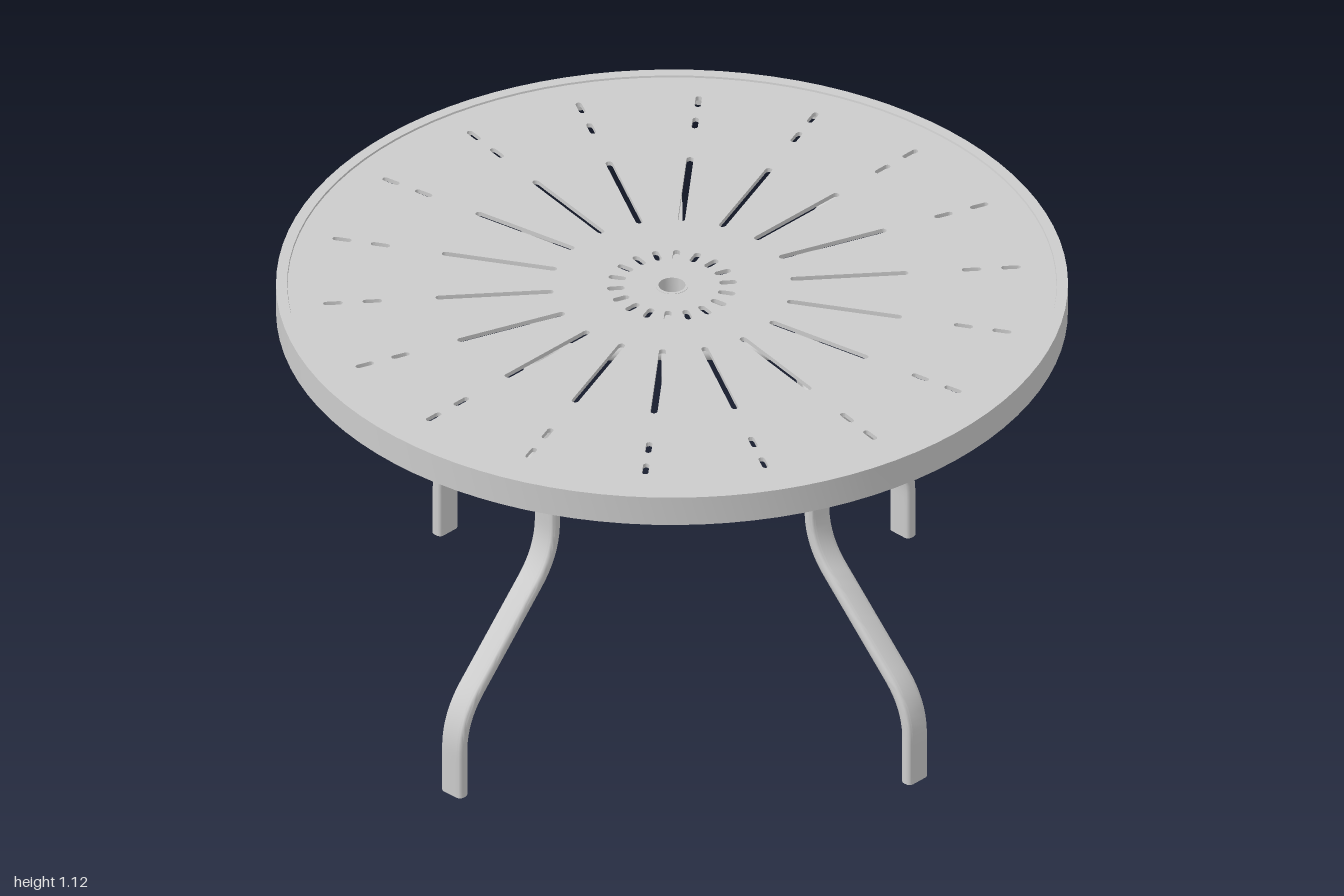
import * as THREE from 'three';
import { toCreasedNormals } from 'three/addons/utils/BufferGeometryUtils.js';

const material = new THREE.MeshStandardMaterial({ color: 0xcccccc, side: THREE.DoubleSide });
const V = (x, y, z) => new THREE.Vector3(x, y, z);

function mesh(name, geometry) {
  const m = new THREE.Mesh(geometry, material);
  m.name = name;
  return m;
}

// Polyline with its corners rounded; trims[i] is cut back from corner i
function roundedPath(points, trims, closed = false) {
  const path = new THREE.CurvePath();
  const n = points.length;
  let first = null, last = closed ? null : points[0];
  for (let i = closed ? 0 : 1; i < (closed ? n : n - 1); i++) {
    const p = points[i];
    const toward = (q) => p.clone().add(q.clone().sub(p).setLength(trims[i]));
    const a = toward(points[(i + n - 1) % n]);
    const b = toward(points[(i + 1) % n]);
    if (last) path.add(new THREE.LineCurve3(last, a));
    path.add(new THREE.QuadraticBezierCurve3(a, p, b));
    first = first || a;
    last = b;
  }
  path.add(new THREE.LineCurve3(last, closed ? first : points[n - 1]));
  return path;
}

// Points of a round-ended slot lying along a radius
function slotPoints(angle, r0, r1, half) {
  const points = [];
  for (const [r, start] of [[r1 - half, -Math.PI / 2], [r0 + half, Math.PI / 2]]) {
    for (let i = 0; i <= 6; i++) {
      const t = angle + start + (i / 6) * Math.PI;
      points.push(new THREE.Vector2(
        r * Math.cos(angle) + half * Math.cos(t),
        r * Math.sin(angle) + half * Math.sin(t)));
    }
  }
  return points;
}

function ringPoints(radius, count) {
  return Array.from({ length: count }, (_, i) => {
    const t = (i / count) * Math.PI * 2;
    return new THREE.Vector2(radius * Math.cos(t), radius * Math.sin(t));
  });
}

// Round table panel with radiating slots and an umbrella hole
function tablePanel() {
  const shape = new THREE.Shape(ringPoints(0.972, 96));
  shape.holes.push(new THREE.Path(ringPoints(0.037, 32)));
  const rows = [[0.12, 0.165, 0.009], [0.3, 0.6, 0.009], [0.735, 0.785, 0.008], [0.835, 0.885, 0.008]];
  for (let i = 0; i < 18; i++) {
    const angle = Math.PI / 2 + (i * Math.PI) / 9;
    for (const [r0, r1, half] of rows) {
      shape.holes.push(new THREE.Path(slotPoints(angle, r0, r1, half)));
    }
  }
  const g = new THREE.ExtrudeGeometry(shape, { depth: 0.012, bevelEnabled: false });
  g.rotateX(-Math.PI / 2).translate(0, 1.108, 0);
  return toCreasedNormals(g, 0.6);
}

function lathe(profile, segments) {
  const pts = profile.map(([x, y]) => new THREE.Vector2(x, y));
  return toCreasedNormals(new THREE.LatheGeometry(pts, segments), 0.5);
}

// Bent leg of flat oval tube, reaching out along +x
function legGeometry() {
  const w = 0.035, t = 0.0165, r = 0.013;
  const section = new THREE.Shape();
  section.moveTo(-w + r, -t);
  section.lineTo(w - r, -t);
  section.quadraticCurveTo(w, -t, w, 0);
  section.quadraticCurveTo(w, t, w - r, t);
  section.lineTo(-w + r, t);
  section.quadraticCurveTo(-w, t, -w, 0);
  section.quadraticCurveTo(-w, -t, -w + r, -t);
  const path = roundedPath(
    [V(0.83, 0, 0), V(0.83, 0.22, 0), V(0.485, 0.565, 0), V(0.485, 1.09, 0), V(0.9, 1.09, 0)],
    [0, 0.09, 0.09, 0.14, 0]);
  const g = new THREE.ExtrudeGeometry(section, {
    steps: 80, curveSegments: 4, extrudePath: path, bevelEnabled: false,
  });
  return toCreasedNormals(g, 0.6);
}

// Open-ended sleeve with a wall
function sleeve(inner, outer, y0, y1) {
  return lathe([[inner, y0], [outer, y0], [outer, y1], [inner, y1], [inner, y0]], 32);
}

export function createModel() {
  const model = new THREE.Group();
  model.name = 'patioTable';

  // Table top
  model.add(mesh('tablePanel', tablePanel()));
  model.add(mesh('tableRim', lathe([
    [0.965, 1.043], [1, 1.043], [1, 1.125], [0.972, 1.125], [0.968, 1.108],
    [0.925, 1.108], [0.925, 1.092], [0.965, 1.092], [0.965, 1.043],
  ], 96)));
  model.add(mesh('umbrellaHoleCollar', sleeve(0.034, 0.042, 1.06, 1.121)));

  // Crossed bars below the panel, on the diagonals
  for (const side of [1, -1]) {
    for (const end of [1, -1]) {
      const g = new THREE.BoxGeometry(0.845, 0.033, 0.06);
      g.translate(end * 0.4625, 1.0915, 0).rotateY((side * Math.PI) / 4);
      model.add(mesh('panelSupportBar', g));
    }
  }

  // Four legs, each slightly off the centre line
  const leg = legGeometry();
  const legs = [
    ['leftLeg', 0, 0, -0.028],
    ['rightLeg', Math.PI, 0, -0.028],
    ['backLeg', Math.PI / 2, 0.003, 0],
    ['frontLeg', -Math.PI / 2 + 0.03, 0.02, 0],
  ];
  for (const [name, yaw, x, z] of legs) {
    const m = mesh(name, leg);
    m.rotation.y = yaw;
    m.position.set(x, 0, z);
    model.add(m);
  }

  // Rounded square brace joining the legs
  const c = 0.5, y = 0.695;
  const brace = roundedPath(
    [V(c, y, 0), V(0, y, -c), V(-c, y, 0), V(0, y, c)], [0.13, 0.13, 0.13, 0.13], true);
  model.add(mesh('legBrace', new THREE.TubeGeometry(brace, 160, 0.023, 14, true)));

  // Umbrella holder across the brace
  for (const end of [1, -1]) {
    const g = new THREE.CylinderGeometry(0.02, 0.02, 0.315, 14);
    g.rotateZ(Math.PI / 2).translate(end * 0.1975, y, 0).rotateY(Math.PI / 4);
    model.add(mesh('umbrellaHolderBar', g));
  }
  model.add(mesh('umbrellaHolderSleeve', sleeve(0.034, 0.044, 0.657, 0.72)));

  return model;
}
